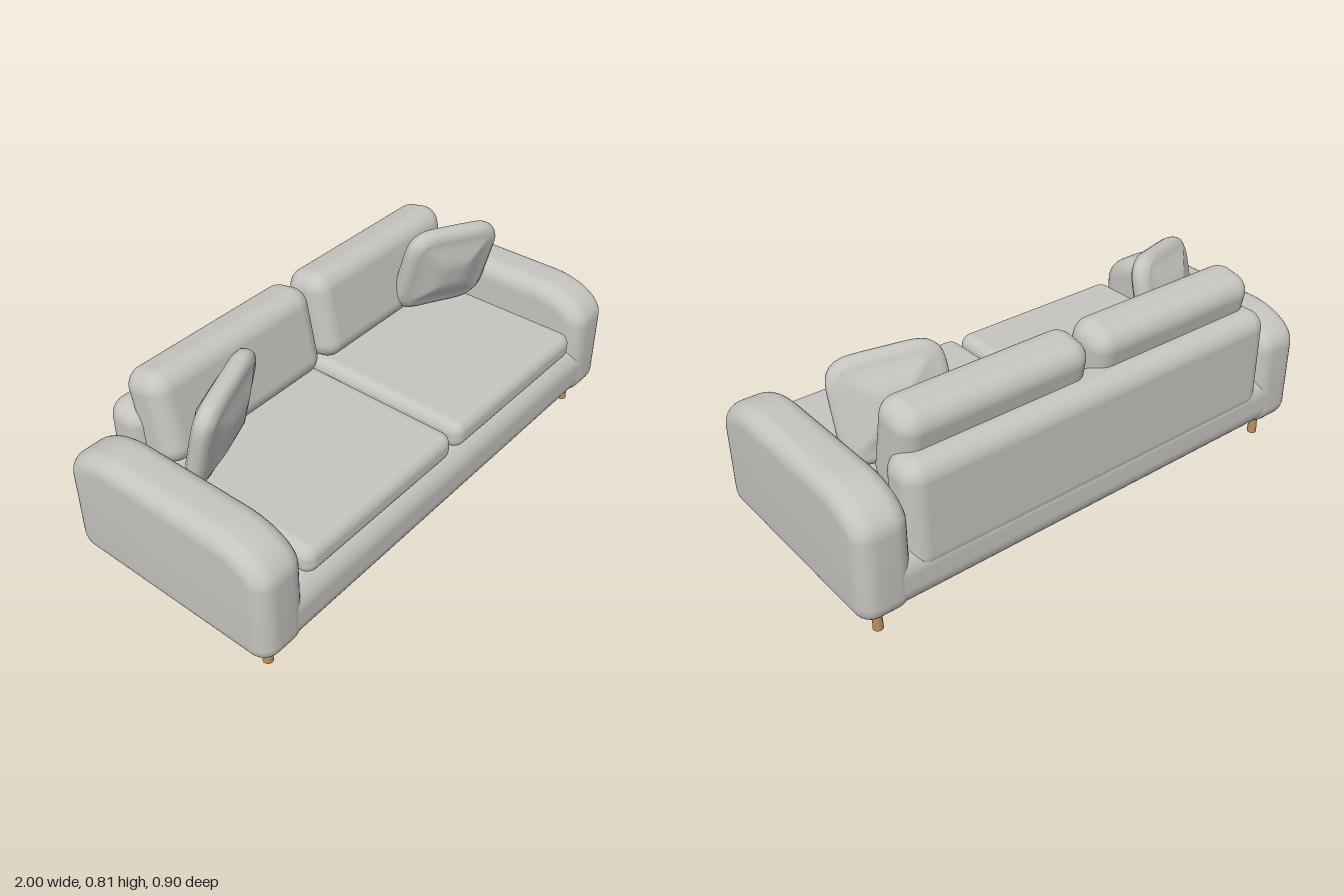
import * as THREE from 'three';
import { mergeVertices, toCreasedNormals } from 'three/addons/utils/BufferGeometryUtils.js';
import { RoundedBoxGeometry } from 'three/addons/geometries/RoundedBoxGeometry.js';

const fabric = new THREE.MeshStandardMaterial({ color: 0xc6c4c0 });
fabric.name = 'greyFabric';
const wood = new THREE.MeshStandardMaterial({ color: 0xb98f5c });
wood.name = 'paleWood';

function add(parent, name, geometry, material, x, y, z) {
  const mesh = new THREE.Mesh(geometry, material);
  mesh.name = name;
  mesh.position.set(x, y, z);
  parent.add(mesh);
  return mesh;
}

// Arm: side outline with broad top shoulders, extruded with a soft bevel
function armGeometry() {
  const width = 0.2, bevel = 0.065, half = 0.45, bottom = 0.09, top = 0.56;
  const rx = 0.23, ry = 0.135, r = 0.075;
  const shape = new THREE.Shape();
  shape.moveTo(-half + r, bottom);
  shape.lineTo(half - r, bottom);
  shape.absellipse(half - r, bottom + r, r, r, -Math.PI / 2, 0, false);
  shape.absellipse(half - rx, top - ry, rx, ry, 0, Math.PI / 2, false);
  shape.absellipse(-half + rx, top - ry, rx, ry, Math.PI / 2, Math.PI, false);
  shape.absellipse(-half + r, bottom + r, r, r, Math.PI, Math.PI * 1.5, false);
  const geometry = new THREE.ExtrudeGeometry(shape, {
    depth: width - 2 * bevel, curveSegments: 14,
    bevelEnabled: true, bevelThickness: bevel, bevelSize: bevel,
    bevelOffset: -bevel, bevelSegments: 8,
  });
  geometry.translate(0, 0, -width / 2 + bevel);
  geometry.rotateY(Math.PI / 2);
  return toCreasedNormals(geometry, 0.6);
}

// Throw pillow: rounded square, thick flat middle falling to a thin rounded rim
function pillowGeometry() {
  const box = new THREE.BoxGeometry(2, 2, 2, 20, 20, 6);
  box.deleteAttribute('uv');
  box.deleteAttribute('normal');
  const geometry = mergeVertices(box);
  const p = geometry.attributes.position;
  for (let i = 0; i < p.count; i++) {
    const x = p.getX(i), y = p.getY(i), z = p.getZ(i);
    const m = Math.max(Math.abs(x), Math.abs(y));
    const half = 0.035 + 0.035 * (1 - THREE.MathUtils.smoothstep(m, 0.2, 1));
    const rim = 1 + 0.12 * Math.sqrt(Math.max(0, 1 - z * z)) * m;
    p.setXYZ(i,
      x * 0.18 * rim * Math.sqrt(1 - 0.25 * y ** 6),
      y * 0.168 * rim * Math.sqrt(1 - 0.25 * x ** 6),
      z * half);
  }
  geometry.computeVertexNormals();
  return geometry;
}

export function createModel() {
  const sofa = new THREE.Group();
  sofa.name = 'sofa';

  // Frame
  add(sofa, 'base', new RoundedBoxGeometry(1.98, 0.23, 0.896, 8, 0.09), fabric, 0, 0.205, 0);
  add(sofa, 'backrest', new RoundedBoxGeometry(1.62, 0.42, 0.17, 8, 0.07), fabric, 0, 0.41, -0.365);

  const arm = armGeometry();
  const seat = new RoundedBoxGeometry(0.77, 0.112, 0.75, 8, 0.045);
  const cushion = new RoundedBoxGeometry(0.765, 0.35, 0.185, 8, 0.07);
  const pillow = pillowGeometry();
  const leg = new THREE.CylinderGeometry(0.015, 0.0185, 0.11, 20);

  for (const side of [1, -1]) {
    const label = side > 0 ? 'left' : 'right';
    add(sofa, label + 'Arm', arm, fabric, side * 0.9, 0, 0);

    // Cushions
    add(sofa, label + 'SeatCushion', seat, fabric, side * 0.395, 0.37, 0.06);
    const back = add(sofa, label + 'BackCushion', cushion, fabric, side * 0.395, 0.588, -0.27);
    back.rotation.x = -0.2;

    // Pillow turned inward, tipped forward and rolled slightly
    const throwPillow = add(sofa, label + 'Pillow', pillow, fabric, side * 0.62, 0.615, -0.08);
    throwPillow.rotation.set(0.25, -side * 0.38, -side * 0.1, 'YXZ');

    // Legs
    for (const end of [1, -1]) {
      add(sofa, label + (end > 0 ? 'Front' : 'Back') + 'Leg', leg, wood, side * 0.905, 0.055, end * 0.358);
    }
  }
  return sofa;
}
